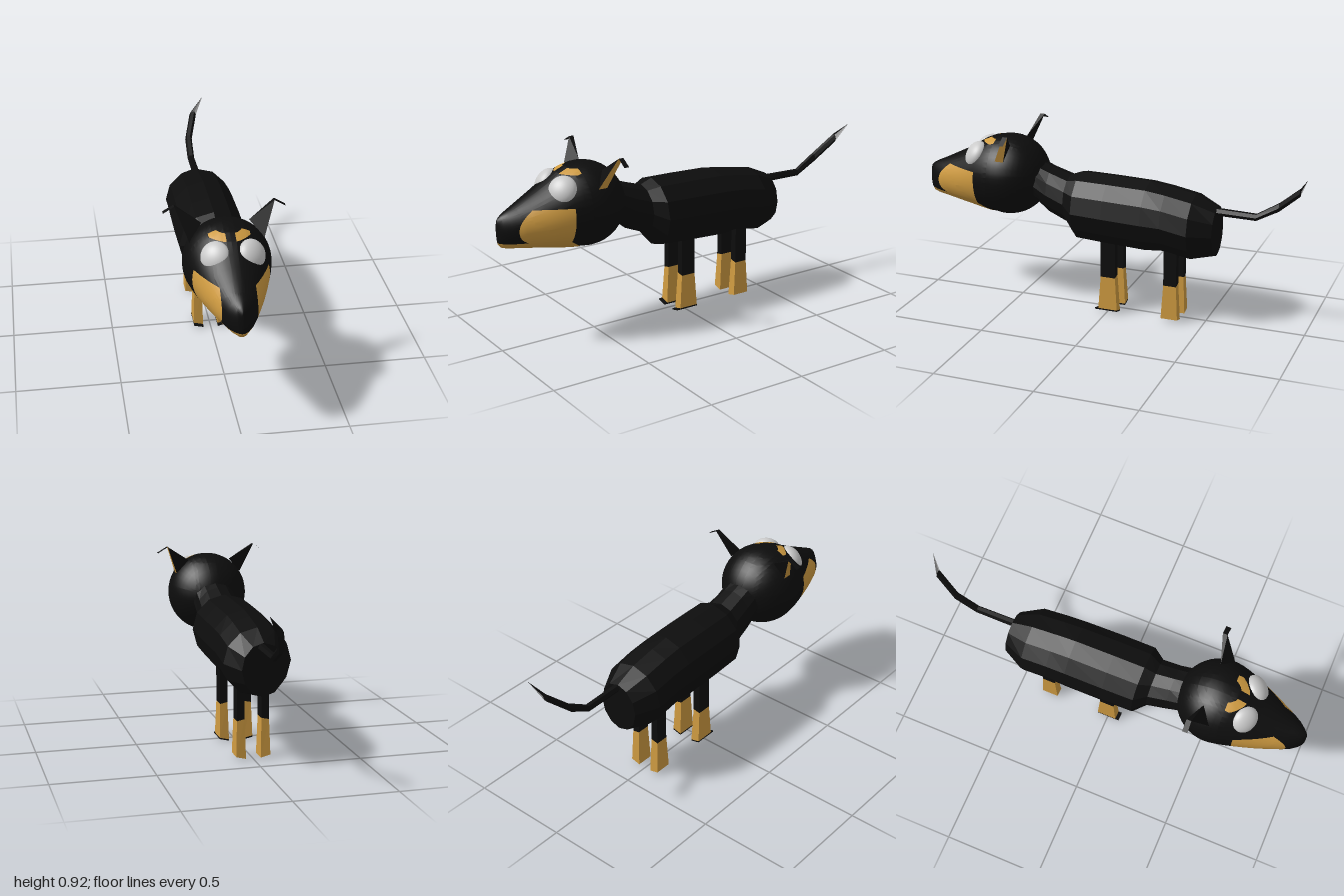
import * as THREE from 'three';
import { mergeVertices } from 'three/addons/utils/BufferGeometryUtils.js';

const V = (x, y, z) => new THREE.Vector3(x, y, z);
const mat = (name, color) => Object.assign(new THREE.MeshStandardMaterial({ color }), { name });

// Elliptical ring in the xy plane
function ring(z, w, top, bottom, n, x = 0) {
  const cy = (top + bottom) / 2, h = (top - bottom) / 2;
  return Array.from({ length: n }, (_, i) => {
    const a = (i / n) * Math.PI * 2;
    return V(x + w * Math.cos(a), cy + h * Math.sin(a), z);
  });
}

// Closed skin over a list of rings, as polygons
function loft(rings) {
  const polys = [];
  const n = rings[0].length;
  for (let i = 0; i < rings.length - 1; i++) {
    const p = rings[i], q = rings[i + 1];
    for (let j = 0; j < n; j++) {
      const k = (j + 1) % n;
      polys.push([p[j], p[k], q[k]], [p[j], q[k], q[j]]);
    }
  }
  polys.push([...rings[0]].reverse(), [...rings[rings.length - 1]]);
  return polys;
}

// Polygons to geometry, one material group per list
function toGeometry(lists, smooth = false) {
  const pos = [];
  let geo = new THREE.BufferGeometry();
  lists.forEach((polys, m) => {
    const start = pos.length / 3;
    for (const p of polys)
      for (let i = 1; i < p.length - 1; i++)
        for (const v of [p[0], p[i], p[i + 1]]) pos.push(v.x, v.y, v.z);
    geo.addGroup(start, pos.length / 3 - start, m);
  });
  geo.setAttribute('position', new THREE.Float32BufferAttribute(pos, 3));
  if (smooth) geo = mergeVertices(geo);
  geo.computeVertexNormals();
  return geo;
}

// Cut all polygons along the surface f = 0 (f linear)
function split(polys, f) {
  const clip = (poly, s) => {
    const out = [];
    poly.forEach((p, i) => {
      const q = poly[(i + 1) % poly.length];
      const a = s * f(p), b = s * f(q);
      if (a >= 0) out.push(p);
      if (a * b < 0) out.push(p.clone().lerp(q, a / (a - b)));
    });
    return out;
  };
  return polys.flatMap((p) => [clip(p, 1), clip(p, -1)]).filter((p) => p.length > 2);
}

export function createModel() {
  const black = mat('black coat', 0x0d0d0d);
  const tan = mat('tan markings', 0xcf9b41);
  const white = mat('eye white', 0xcacaca);
  const grey = mat('tail tip grey', 0xa0a0a0);
  const model = new THREE.Group();
  model.name = 'dog';
  const add = (name, geo, material) => {
    const mesh = new THREE.Mesh(geo, material);
    mesh.name = name;
    model.add(mesh);
    return mesh;
  };
  const addLoft = (name, rings, material) => add(name, toGeometry([loft(rings)]), material);

  // Body and neck: z, half width, top, bottom
  const body = [
    [-0.545, 0.105, 0.61, 0.355], [-0.435, 0.165, 0.66, 0.33], [-0.3, 0.168, 0.685, 0.355],
    [-0.2, 0.17, 0.70, 0.345], [0, 0.172, 0.706, 0.355], [0.16, 0.17, 0.708, 0.365],
    [0.22, 0.12, 0.685, 0.44], [0.315, 0.112, 0.715, 0.48], [0.4, 0.112, 0.745, 0.55],
  ];
  addLoft('body', body.map((r) => ring(...r, 12)), black);

  // Head: round skull running into a tapered muzzle
  const profile = [];
  for (let i = 0; i < 14; i++) {
    const t = 0.08 + (i / 13) * 1.72, r = 0.205 * Math.sin(t);
    profile.push([0.55 - 0.205 * Math.cos(t), r, 0.655 + r, 0.655 - r]);
  }
  profile.push(
    [0.63, 0.192, 0.849, 0.455], [0.68, 0.177, 0.828, 0.462], [0.74, 0.157, 0.79, 0.474],
    [0.8, 0.135, 0.757, 0.484], [0.86, 0.11, 0.727, 0.494], [0.91, 0.088, 0.702, 0.502],
    [0.95, 0.066, 0.684, 0.507], [0.98, 0.04, 0.668, 0.514], [0.995, 0.02, 0.655, 0.53],
    [1, 0.006, 0.64, 0.55]);
  let skin = loft(profile.map((r) => ring(...r, 48)));
  const cheekBack = (p) => p.z - 0.68;
  const chinBack = (p) => p.z - 0.68 + 1.43 * (0.52 - p.y);
  const cuts = [cheekBack, chinBack, (p) => p.z - 0.6];
  for (const y of [0.54, 0.695, 0.825, 0.845]) cuts.push((p) => p.y - y);
  for (const x of [-0.095, -0.08, -0.022, 0.022, 0.08, 0.095]) cuts.push((p) => p.x - x);
  for (const f of cuts) skin = split(skin, f);
  const isTan = (poly) => {
    const c = poly.reduce((s, p) => s.add(p), V(0, 0, 0)).divideScalar(poly.length);
    const x = Math.abs(c.x);
    const muzzle = (cheekBack(c) > 0 || chinBack(c) > 0) && c.y < 0.695 && (x > 0.08 || c.y < 0.54);
    const brow = c.z > 0.6 && c.y > 0.825 && c.y < 0.845 && x > 0.022 && x < 0.095;
    return muzzle || brow;
  };
  add('head', toGeometry([skin.filter((p) => !isTan(p)), skin.filter(isTan)], true), [black, tan]);

  for (const s of [1, -1]) {
    const side = s > 0 ? 'left' : 'right';

    // Eye: flattened ball set into the brow
    const eye = add(side + 'Eye', new THREE.SphereGeometry(1, 32, 20), white);
    eye.scale.set(0.07, 0.07, 0.045);
    eye.position.set(s * 0.082 + 0.006, 0.765, 0.70);
    eye.quaternion.setFromUnitVectors(V(0, 0, 1), V(s * 0.5, 0.55, 0.67).normalize());

    // Ear: wedge with tan outer face and a thin folded tip
    const P = (x, y, z) => V(s * x, y, z);
    const inner = P(0.11, 0.835, 0.5), front = P(0.172, 0.765, 0.557), back = P(0.172, 0.765, 0.512);
    const tipF = P(0.23, 0.915, 0.482), tipB = P(0.23, 0.915, 0.458);
    const foldF = P(0.282, 0.884, 0.484), foldB = P(0.282, 0.884, 0.458);
    const turn = (list) => (s > 0 ? list : list.map((p) => [...p].reverse()));
    const dark = turn([
      [inner, front, tipF], [inner, tipF, tipB], [inner, tipB, back], [inner, back, front],
      [tipF, foldF, foldB, tipB], [tipB, foldB, foldF, tipF],
    ]);
    add(side + 'Ear', toGeometry([dark, turn([[front, back, tipB, tipF]])]), [black, tan]);

    // Legs: black above, flared tan sock below
    for (const [end, zc, hz, flare] of [['Front', -0.006, 0.038, 0.05], ['Back', -0.332, 0.033, 0.043]]) {
      const square = (y, hx, h, slant = 0, z = zc) => [[1, 1], [1, -1], [-1, -1], [-1, 1]].map(
        ([a, b]) => V(s * 0.061 + a * hx, y + a * s * slant, z + b * h));
      addLoft(side + end + 'Leg', [square(0.195, 0.019, hz, -0.004), square(0.42, 0.019, hz)], black);
      addLoft(side + end + 'Sock',
        [square(0.009, 0.024, flare, 0.006), square(0.195, 0.019, hz, -0.004)], tan);
      // Dark toe plate
      if (end === 'Front')
        addLoft(side + 'Toe', [square(0.006, 0.024, 0.059, 0.006, 0.003),
          square(0.013, 0.024, 0.059, 0.006, 0.003)], black);
    }
  }

  // Tail: rising toward a pointed tip
  const tail = [
    [-0.955, 0.745, 0.05, 0.018, 0.022], [-0.85, 0.648, 0.012, 0.018, 0.023],
    [-0.74, 0.583, 0.01, 0.018, 0.018], [-0.5, 0.588, 0.01, 0.02, 0.02],
  ].map(([z, y, x, w, h]) => ring(z, w, y + h, y - h, 6, x));
  addLoft('tail', tail, black);
  const end = V(0.11, 0.83, -1);
  const fan = tail[0].map((p, i) => [end, p, tail[0][(i + 1) % 6]]);
  add('tailTip', toGeometry([fan.slice(0, 3), fan.slice(3)]), [black, grey]);

  return model;
}
